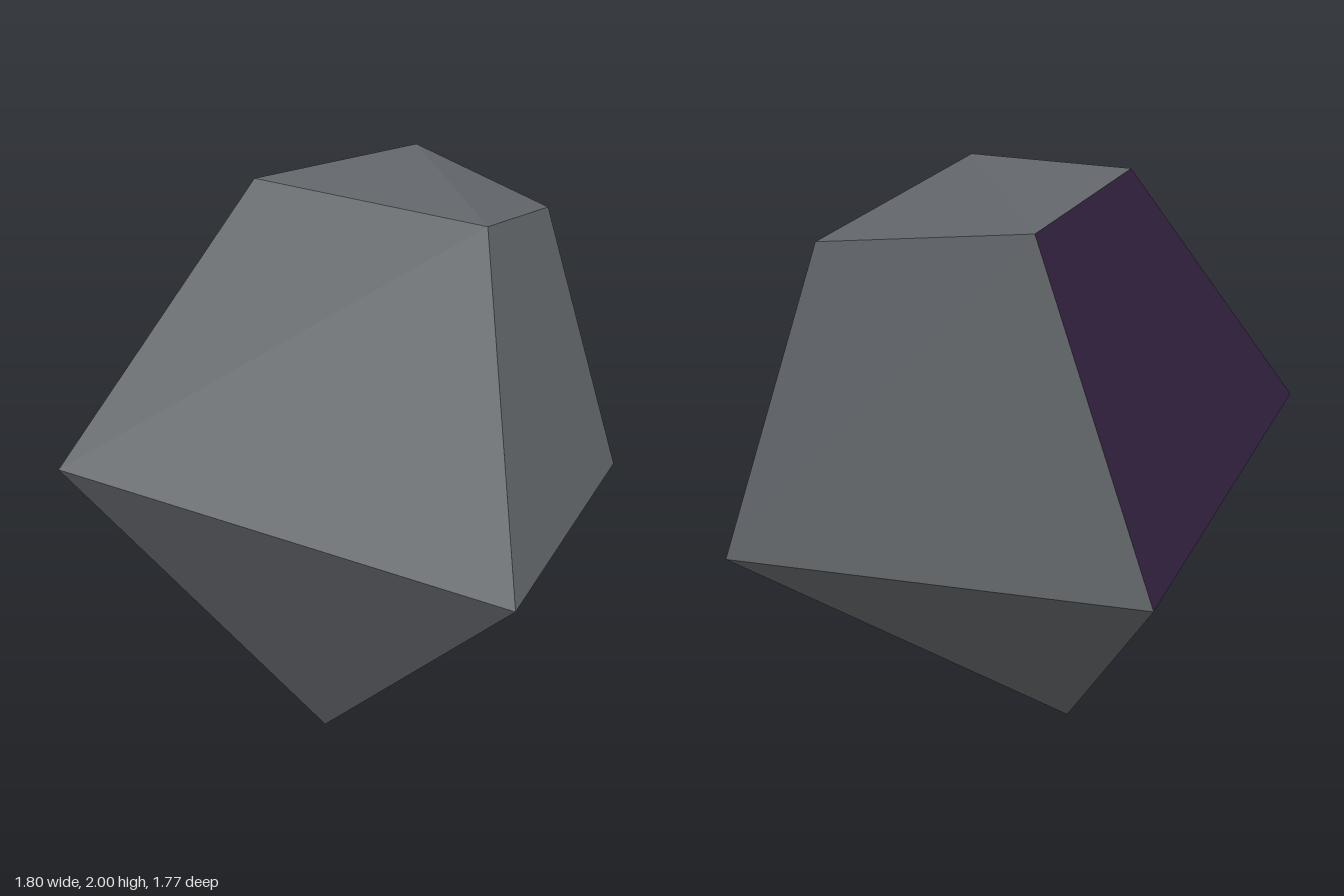
import * as THREE from 'three';

// Two half-diagonals of the tilted square section
const U = new THREE.Vector3(0.9, 0.032, 0.41);
const V = new THREE.Vector3(-0.41, 0.172, 0.885);

// Four corners of a square section, scaled about a point on the tilted axis
function ring(center, scale) {
  return [[U, 1], [V, 1], [U, -1], [V, -1]].map(([dir, sign]) =>
    center.clone().addScaledVector(dir, sign * scale));
}

// Flat-faced mesh from polygons whose corners run counter-clockwise from outside
function facets(name, polygons, material) {
  const points = [];
  for (const p of polygons) {
    for (let i = 1; i < p.length - 1; i++) points.push(p[0], p[i], p[i + 1]);
  }
  const geometry = new THREE.BufferGeometry().setFromPoints(points);
  geometry.computeVertexNormals();
  const mesh = new THREE.Mesh(geometry, material);
  mesh.name = name;
  return mesh;
}

export function createModel() {
  const stone = new THREE.MeshStandardMaterial({ color: 0x606468 });
  stone.name = 'grey stone';
  const purple = new THREE.MeshStandardMaterial({ color: 0x2f1f3a });
  purple.name = 'dark purple';

  const tip = new THREE.Vector3(-0.04, 0, 0.172);
  const peak = new THREE.Vector3(0.04, 2, -0.178);
  const belt = ring(new THREE.Vector3(0, 0.98, 0), 1);
  const rim = ring(new THREE.Vector3(0.036, 1.855, -0.157), 0.5);

  const lower = [], sides = [], cap = [];
  for (let i = 0; i < 4; i++) {
    const j = (i + 1) % 4;
    lower.push([tip, belt[i], belt[j]]);
    sides.push([belt[j], belt[i], rim[i], rim[j]]);
    cap.push([rim[j], rim[i], peak]);
  }
  // The side facing the model's right carries the dark panel
  const [panel] = sides.splice(1, 1);

  const group = new THREE.Group();
  group.name = 'cutGem';
  group.add(
    facets('lowerPoint', lower, stone),
    facets('upperSides', sides, stone),
    facets('darkPanel', [panel], purple),
    facets('shallowCap', cap, stone),
  );
  return group;
}
